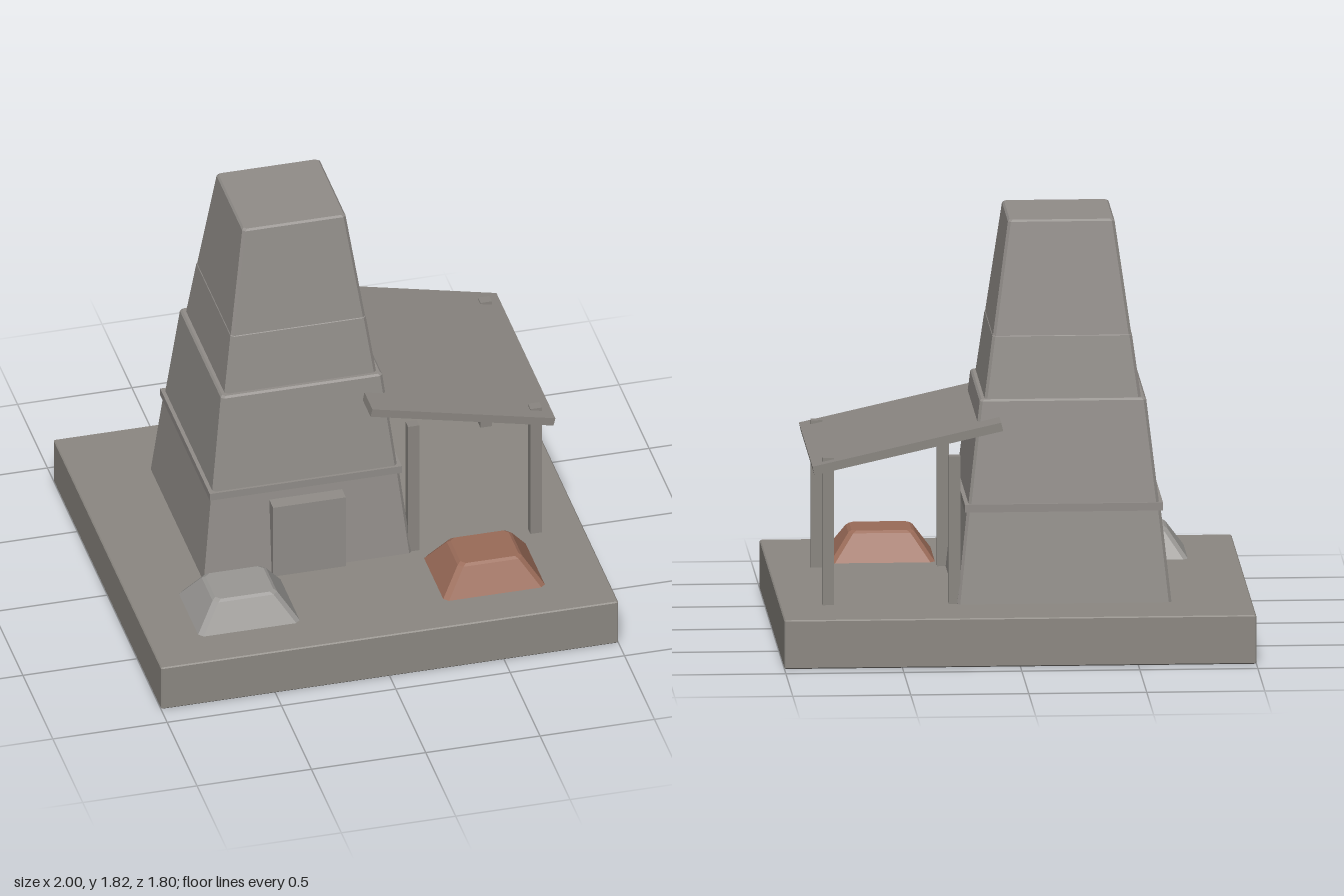
import * as THREE from 'three';

const paint = (name, color) => {
  const m = new THREE.MeshStandardMaterial({ color });
  m.name = name;
  return m;
};

// Loft of rectangles with cut corners; each ring is [y, halfX, halfZ]
function loft(rings, cut) {
  const pos = [];
  const index = [];
  for (const [y, x, z] of rings) {
    const c = cut;
    for (const [px, pz] of [[x, z - c], [x - c, z], [c - x, z], [-x, z - c],
      [-x, c - z], [c - x, -z], [x - c, -z], [x, c - z]]) pos.push(px, y, pz);
  }
  for (let r = 0; r < rings.length - 1; r++) {
    for (let i = 0; i < 8; i++) {
      const a = r * 8 + i, b = r * 8 + (i + 1) % 8;
      index.push(a, a + 8, b, b, a + 8, b + 8);
    }
  }
  // End caps
  const t = (rings.length - 1) * 8;
  for (let i = 1; i < 7; i++) {
    index.push(0, i, i + 1);
    index.push(t, t + i + 1, t + i);
  }
  const g = new THREE.BufferGeometry();
  g.setAttribute('position', new THREE.Float32BufferAttribute(pos, 3));
  g.setIndex(index);
  const flat = g.toNonIndexed();
  flat.computeVertexNormals();
  return flat;
}

export function createModel() {
  const model = new THREE.Group();
  model.name = 'furnaceYard';

  const ground = paint('ground stone', 0x8c8882);
  const masonry = paint('tower masonry', 0x918d89);
  const shelter = paint('shelter grey', 0x8a8681);
  const ash = paint('pale heap', 0x9a9895);
  const clay = paint('clay heap', 0x9a6b58);

  const add = (name, geometry, material, x, y, z, parent = model) => {
    const mesh = new THREE.Mesh(geometry, material);
    mesh.name = name;
    mesh.position.set(x, y, z);
    parent.add(mesh);
    return mesh;
  };
  const box = (w, h, d) => new THREE.BoxGeometry(w, h, d);

  // Plinth with slightly eased edges
  add('plinth', loft([[0, 0.995, 0.895], [0.005, 1, 0.9], [0.205, 1, 0.9], [0.21, 0.995, 0.895]], 0.005),
    ground, 0, 0, 0);

  // Tapered tower in stacked stages
  const tower = new THREE.Group();
  tower.name = 'tower';
  tower.position.set(-0.205, 0, -0.135);
  model.add(tower);
  const stages = [
    ['lowerStage', 0.2, 0.455, 0.62, 0.41],
    ['middleStage', 0.61, 0.406, 1.072, 0.353],
    ['upperStage', 1.06, 0.333, 1.34, 0.296],
    ['topStage', 1.33, 0.294, 1.82, 0.226],
  ];
  for (const [name, y0, h0, y1, h1] of stages) {
    const ease = 0.008;
    add(name, loft([[y0, h0, h0], [y1 - ease, h1, h1], [y1, h1 - ease, h1 - ease]], 0.012),
      masonry, 0, 0, 0, tower);
  }
  add('band', box(0.84, 0.034, 0.83), masonry, 0, 0.615, 0, tower);

  // Door slab
  add('door', box(0.318, 0.35, 0.065), masonry, -0.206, 0.385, 0.313);

  // Lean-to shelter
  const roof = add('shelterRoof', box(0.82, 0.037, 0.985), shelter, 0.461, 0.89, -0.132);
  roof.rotation.z = -0.222;
  for (const x of [0.26, 0.795]) {
    for (const z of [0.285, -0.55]) {
      add('shelterPost', box(0.05, 0.64, 0.043), shelter, x, 0.525, z);
    }
  }

  // Material heaps
  const heap = loft([[0.2, 0.226, 0.184], [0.21, 0.222, 0.18], [0.325, 0.141, 0.111], [0.335, 0.127, 0.1]], 0.02);
  add('paleHeap', heap, ash, -0.562, 0, 0.532);
  add('clayHeap', heap, clay, 0.51, 0, 0.532);

  return model;
}
